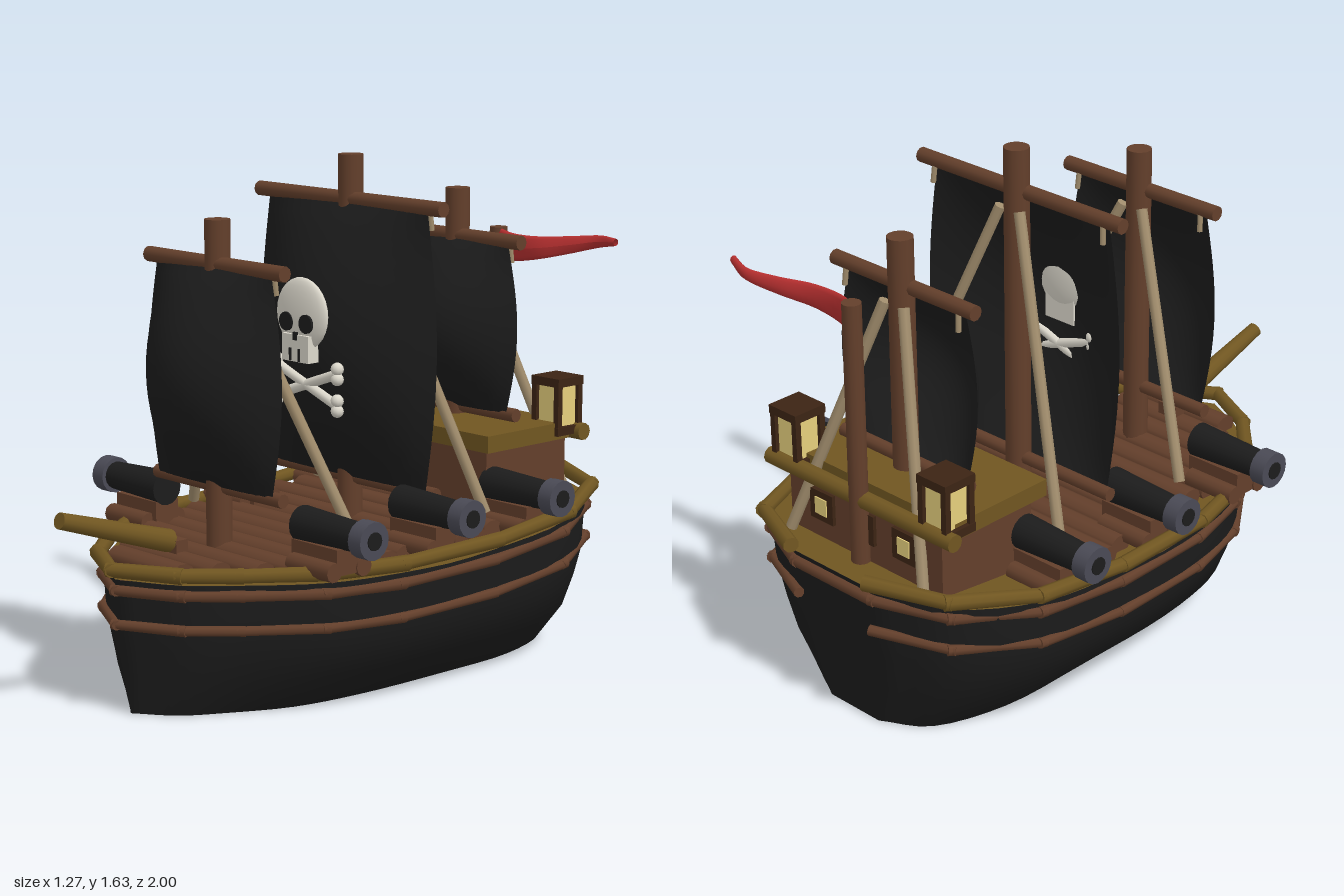
import * as THREE from 'three';

const V = (x, y, z) => new THREE.Vector3(x, y, z);

export function createModel() {
  const ship = new THREE.Group();
  ship.name = 'sailingShip';
  const mat = (name, color, side = THREE.FrontSide) => {
    const m = new THREE.MeshStandardMaterial({ color, side });
    m.name = name;
    return m;
  };
  const black = mat('black', 0x1c1c1c, THREE.DoubleSide);
  const brown = mat('brownWood', 0x633f2b);
  const gold = mat('ochreWood', 0x705621, THREE.DoubleSide);
  const iron = mat('iron', 0x4a4a55);
  const rope = mat('rope', 0xa08c6c);
  const red = mat('red', 0xb83030, THREE.DoubleSide);
  const bone = mat('bone', 0xdcd8cc);
  const glass = mat('lampGlass', 0xe6cf7c);
  const dark = mat('darkWood', 0x3c2414);

  const add = (name, geo, m, x = 0, y = 0, z = 0, parent = ship) => {
    const mesh = new THREE.Mesh(geo, m);
    mesh.name = name;
    mesh.position.set(x, y, z);
    parent.add(mesh);
    return mesh;
  };
  const box = (name, m, w, h, d, x, y, z, parent) => add(name, new THREE.BoxGeometry(w, h, d), m, x, y, z, parent);
  // Round timber from a to b
  const log = (name, m, a, b, r, rEnd = r, sides = 10) => {
    const d = b.clone().sub(a);
    const mesh = add(name, new THREE.CylinderGeometry(rEnd, r, d.length(), sides), m);
    mesh.position.copy(a).add(b).multiplyScalar(0.5);
    mesh.quaternion.setFromUnitVectors(V(0, 1, 0), d.normalize());
    return mesh;
  };

  // Half outline of the deck (half width, z) from stern to bow, and the rise toward the stern
  const outline = [[0.17, -0.97], [0.40, -0.87], [0.53, -0.62], [0.545, -0.28], [0.525, 0.1],
    [0.46, 0.35], [0.31, 0.56], [0.19, 0.69], [0.0, 0.79]];
  const rise = z => (z < -0.1 ? 0.085 * Math.pow((-0.1 - z) / 0.87, 1.3) : 0);
  const curve = new THREE.CatmullRomCurve3(outline.map(([w, z]) => V(w, 0, z)), false, 'centripetal');
  const half = curve.getPoints(32);

  // Hull: the closed outline swept through a side profile [height fraction, width scale, length scale]
  const profile = [[0, 0.62, 0.925], [0.28, 0.86, 0.945], [0.5, 0.94, 0.962], [0.68, 0.985, 0.975], [1, 0.99, 0.99]];
  const ring = [...half, ...half.slice(0, -1).reverse().map(p => V(-p.x, 0, p.z))];
  const pos = [], idx = [], n = ring.length;
  for (const [h, sw, sl] of profile)
    for (const p of ring) pos.push(p.x * sw, h * (0.425 + rise(p.z)), p.z * sl);
  for (let j = 0; j < profile.length - 1; j++)
    for (let i = 0; i < n; i++) {
      const a = j * n + i, b = j * n + (i + 1) % n;
      idx.push(a, a + n, b, b, a + n, b + n);
    }
  const meshGeo = (p, ix) => {
    const g = new THREE.BufferGeometry();
    g.setAttribute('position', new THREE.Float32BufferAttribute(p, 3));
    g.setIndex(ix);
    g.computeVertexNormals();
    return g;
  };
  add('hull', meshGeo(pos, idx), black);

  // Flat caps spanning the outline: hull bottom and deck
  const cap = (name, m, sw, sl, y, up) => {
    const p = [], ix = [];
    half.forEach((q, i) => {
      p.push(q.x * sw, y(q.z), q.z * sl, -q.x * sw, y(q.z), q.z * sl);
      if (i) {
        const a = 2 * i - 2;
        if (up) ix.push(a, a + 1, a + 2, a + 1, a + 3, a + 2);
        else ix.push(a, a + 2, a + 1, a + 1, a + 2, a + 3);
      }
    });
    add(name, meshGeo(p, ix), m);
  };
  cap('hullBottom', black, 0.62, 0.925, () => 0, false);
  cap('deck', gold, 0.99, 0.99, z => 0.426 + rise(z), true);

  // Rails and strakes: straight timbers following the outline on both sides
  const trim = (name, m, y, r, grow, close) => {
    for (const s of [1, -1])
      for (let i = 0; i < outline.length - 1; i++) {
        const [a, b] = [outline[i], outline[i + 1]].map(([w, z]) => V(s * w * grow, y + rise(z), z * grow));
        const over = b.clone().sub(a).setLength(0.014);
        log(name, m, a.sub(over), b.add(over), r, r * 0.9, 8);
      }
    if (close) log(name, m, V(-0.18, y + rise(-0.97), -0.97 * grow), V(0.18, y + rise(-0.97), -0.97 * grow), r, r, 8);
  };
  trim('rail', gold, 0.458, 0.025, 1.01, false);
  trim('upperStrake', brown, 0.393, 0.019, 0.99, true);
  trim('lowerStrake', brown, 0.287, 0.017, 0.99, false);

  // Deck planks laid across the ship
  const widthAt = z => {
    const i = outline.findIndex(p => p[1] >= z), [w0, z0] = outline[i - 1], [w1, z1] = outline[i];
    return w0 + (w1 - w0) * (z - z0) / (z1 - z0);
  };
  for (let i = 0; i < 13; i++) {
    const z = 0.65 - i * 0.093, w = widthAt(z) - 0.07 - (i % 2) * 0.025;
    const p = log('deckPlank', brown, V(-w, 0.447 + rise(z), z), V(w, 0.447 + rise(z), z), 0.044);
    p.scale.x = 0.75;
  }

  // Masts with yards, booms, billowing sails and stays
  // [z, top, foot, yard y, yard half, sail foot y, sail half, depth, stay foot x, stay foot z]
  const rigs = [
    ['fore', 0.375, 1.47, 0.42, 1.335, 0.315, 0.65, 0.265, 0.175, 0.38, 0.16],
    ['main', -0.175, 1.63, 0.42, 1.49, 0.42, 0.6, 0.36, 0.18, 0.39, -0.395],
    ['mizzen', -0.655, 1.49, 0.45, 1.335, 0.295, 0.77, 0.245, 0.175, 0.29, -0.87],
  ];
  for (const [n, z, top, foot, yy, yh, fy, sh, depth, sx, sz] of rigs) {
    log(n + 'Mast', brown, V(0, foot, z), V(0, top, z), 0.041, 0.04, 14);
    log(n + 'Yard', brown, V(-yh, yy, z + 0.01), V(yh, yy, z + 0.01), 0.024);
    log(n + 'Boom', brown, V(-sh - 0.03, fy, z), V(sh + 0.03, fy, z), 0.022);
    const g = new THREE.PlaneGeometry(2, 1, 16, 16), p = g.attributes.position;
    for (let i = 0; i < p.count; i++) {
      const u = p.getX(i), v = p.getY(i) + 0.5, b = Math.sin(Math.PI * v);
      p.setXYZ(i, u * (sh + 0.045 * b), fy + v * (yy - fy - 0.01 + 0.012 * (1 - u * u)), z + 0.018 + depth * Math.pow(b, 0.85) * (1 - u * u));
    }
    g.computeVertexNormals();
    add(n + 'Sail', g, black);
    for (const s of [1, -1]) {
      log(n + 'Stay', rope, V(s * 0.04, yy - 0.05, z - 0.03), V(s * sx, 0.51, sz), 0.018, 0.018, 8);
      log(n + 'SailTie', rope, V(s * (sh - 0.01), yy, z), V(s * (sh - 0.005), yy - 0.07, z - 0.005), 0.009, 0.009, 6);
    }
  }

  // Skull and crossed bones on the main sail
  add('skull', new THREE.SphereGeometry(0.115, 20, 14).scale(1, 1, 0.24), bone, 0, 1.145, 0.03);
  box('jaw', bone, 0.12, 0.085, 0.05, 0, 1.04, 0.037);
  for (const s of [1, -1]) {
    const disc = new THREE.CylinderGeometry(0.03, 0.03, 0.008, 14).rotateX(Math.PI / 2);
    add('eyeSocket', disc, black, s * 0.045, 1.12, 0.057);
    box('toothGap', black, 0.008, 0.04, 0.006, s * 0.02, 1.02, 0.063);
    const a = V(-0.14, 0.92 - s * 0.05, 0.005), b = V(0.14, 0.92 + s * 0.05, 0.005);
    a.z = b.z = 0.012;
    log('crossBone', bone, a, b, 0.016, 0.016, 8);
    for (const e of [a, b])
      for (const t of [1, -1]) add('boneKnob', new THREE.SphereGeometry(0.021, 10, 8), bone, e.x, e.y + t * 0.016, e.z);
  }
  box('noseSocket', black, 0.018, 0.025, 0.008, 0, 1.078, 0.06);

  // Three cannons on each side
  for (const z of [0.32, -0.09, -0.49])
    for (const s of [1, -1]) {
      const y = 0.58, at = (x, dy = 0, dz = 0) => V(s * x, y + dy, z + dz);
      log('cannonBarrel', black, at(0.32), at(0.59), 0.056, 0.044, 16);
      log('cannonMuzzle', iron, at(0.578), at(0.63), 0.058, 0.058, 16);
      log('cannonBore', black, at(0.62), at(0.634), 0.028, 0.028, 12);
      box('cannonCarriage', brown, 0.2, 0.08, 0.09, s * 0.42, 0.5, z);
      for (const d of [-0.06, 0.06]) log('carriageLog', brown, at(0.34, -0.105, d), at(0.525, -0.105, d), 0.03);
    }

  // Bowsprit and its post
  log('bowsprit', gold, V(0, 0.51, 0.575), V(0, 0.638, 0.985), 0.036, 0.025, 12);
  box('bowPost', brown, 0.075, 0.11, 0.045, 0, 0.46, 0.555);

  // Stern cabin with roof and rear windows
  box('cabin', brown, 0.66, 0.25, 0.37, 0, 0.575, -0.645);
  box('cabinRoof', gold, 0.73, 0.055, 0.38, 0, 0.718, -0.62);
  log('sternBeam', gold, V(-0.4, 0.71, -0.845), V(0.4, 0.71, -0.845), 0.028);
  for (const x of [-0.18, 0, 0.18]) {
    box('windowFrame', dark, 0.1, 0.1, 0.02, x, 0.61, -0.832);
    box('windowPane', glass, 0.05, 0.055, 0.008, x, 0.61, -0.842);
  }

  // Stern lanterns
  for (const s of [1, -1]) {
    const lamp = new THREE.Group();
    lamp.name = 'lantern';
    lamp.position.set(s * 0.32, 0.8, -0.8);
    ship.add(lamp);
    box('lanternGlass', glass, 0.09, 0.14, 0.09, 0, 0, 0, lamp);
    box('lanternBase', dark, 0.12, 0.028, 0.12, 0, -0.082, 0, lamp);
    box('lanternTop', dark, 0.12, 0.028, 0.12, 0, 0.078, 0, lamp);
    for (const x of [-0.048, 0.048])
      for (const z of [-0.048, 0.048]) box('lanternPost', dark, 0.02, 0.15, 0.02, x, 0, z, lamp);
  }

  // Flagpole and waving pennant
  log('flagpole', brown, V(0, 0.5, -0.85), V(0, 1.345, -0.85), 0.03, 0.03, 12);
  const wave = new THREE.CatmullRomCurve3([V(0, 1.29, -0.845), V(0.1, 1.288, -0.815), V(0.2, 1.295, -0.82),
    V(0.3, 1.31, -0.865), V(0.4, 1.328, -0.9), V(0.495, 1.337, -0.87)]);
  const flag = new THREE.TubeGeometry(wave, 24, 1, 8, false), fp = flag.attributes.position;
  for (let i = 0; i < fp.count; i++) {
    const t = Math.floor(i / 9) / 24, a = (i % 9) / 8 * Math.PI * 2, c = wave.getPointAt(t);
    const h = 0.055 - 0.043 * t;
    fp.setXYZ(i, c.x, c.y + Math.sin(a) * h, c.z + Math.cos(a) * 0.012);
  }
  flag.computeVertexNormals();
  add('pennant', flag, red);

  return ship;
}
